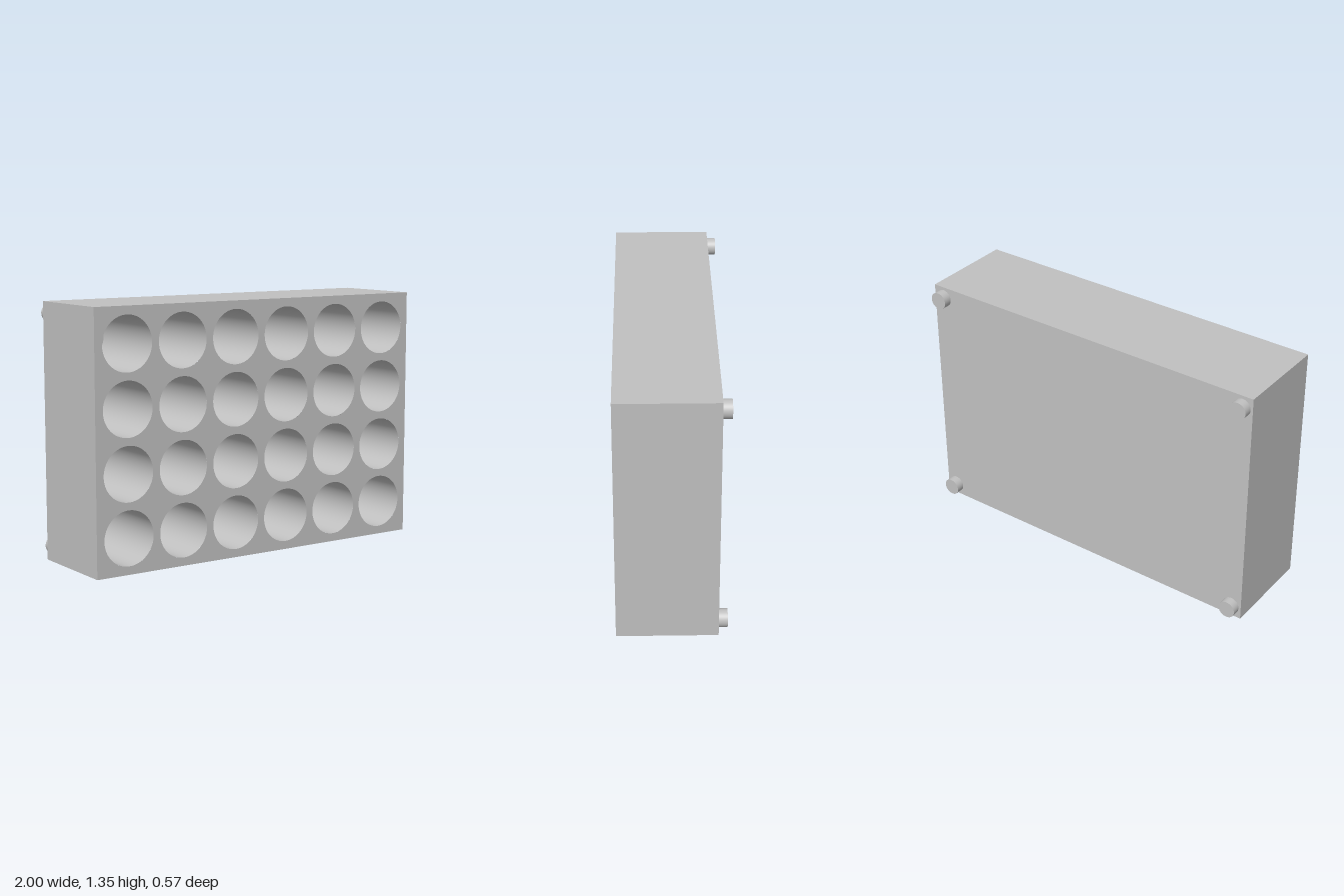
import * as THREE from 'three';

const W = 2, H = 1.35, BACK = -0.237, FRONT = 0.283;
const COLS = 6, ROWS = 4, PITCH = 0.3255, R = 0.143, FLOOR = BACK + 0.042;
const SEGMENTS = 64;

export function createModel() {
  const group = new THREE.Group();
  const grey = new THREE.MeshStandardMaterial({ color: 0xc0c0c0 });
  grey.name = 'grey';

  const add = (name, geometry, x = 0, y = 0, z = 0) => {
    const mesh = new THREE.Mesh(geometry, grey);
    mesh.name = name;
    mesh.position.set(x, y, z);
    group.add(mesh);
  };

  // Block sides and back: a box with its front face left out
  const box = new THREE.BoxGeometry(W, H, FRONT - BACK);
  const index = Array.from(box.index.array);
  index.splice(24, 6);
  box.setIndex(index);
  box.clearGroups();
  add('blockBody', box, 0, H / 2, (FRONT + BACK) / 2);

  // Front face pierced by the grid of round openings
  const face = new THREE.Shape();
  face.moveTo(-W / 2, 0);
  face.lineTo(W / 2, 0);
  face.lineTo(W / 2, H);
  face.lineTo(-W / 2, H);
  face.closePath();

  // Inward-facing wall of one socket, turned to open towards the front
  const wall = new THREE.LatheGeometry(
    [new THREE.Vector2(R, FRONT), new THREE.Vector2(R, FLOOR)], SEGMENTS);
  wall.rotateX(Math.PI / 2);
  const floor = new THREE.CircleGeometry(R, SEGMENTS);

  for (let row = 0; row < ROWS; row++) {
    for (let col = 0; col < COLS; col++) {
      const x = (col - (COLS - 1) / 2) * PITCH;
      const y = H / 2 + (row - (ROWS - 1) / 2) * PITCH;
      const hole = new THREE.Path();
      hole.absarc(x, y, R, 0, Math.PI * 2, true);
      face.holes.push(hole);
      add('socketWall', wall, x, y);
      add('socketFloor', floor, x, y, FLOOR);
    }
  }
  add('frontFace', new THREE.ShapeGeometry(face, SEGMENTS), 0, 0, FRONT);

  // Four round feet on the back corners
  const foot = new THREE.CylinderGeometry(0.047, 0.047, 0.046, 48);
  foot.rotateX(Math.PI / 2);
  for (const x of [-0.94, 0.94]) {
    for (const y of [0.064, H - 0.064]) add('foot', foot, x, y, BACK - 0.023);
  }

  return group;
}
